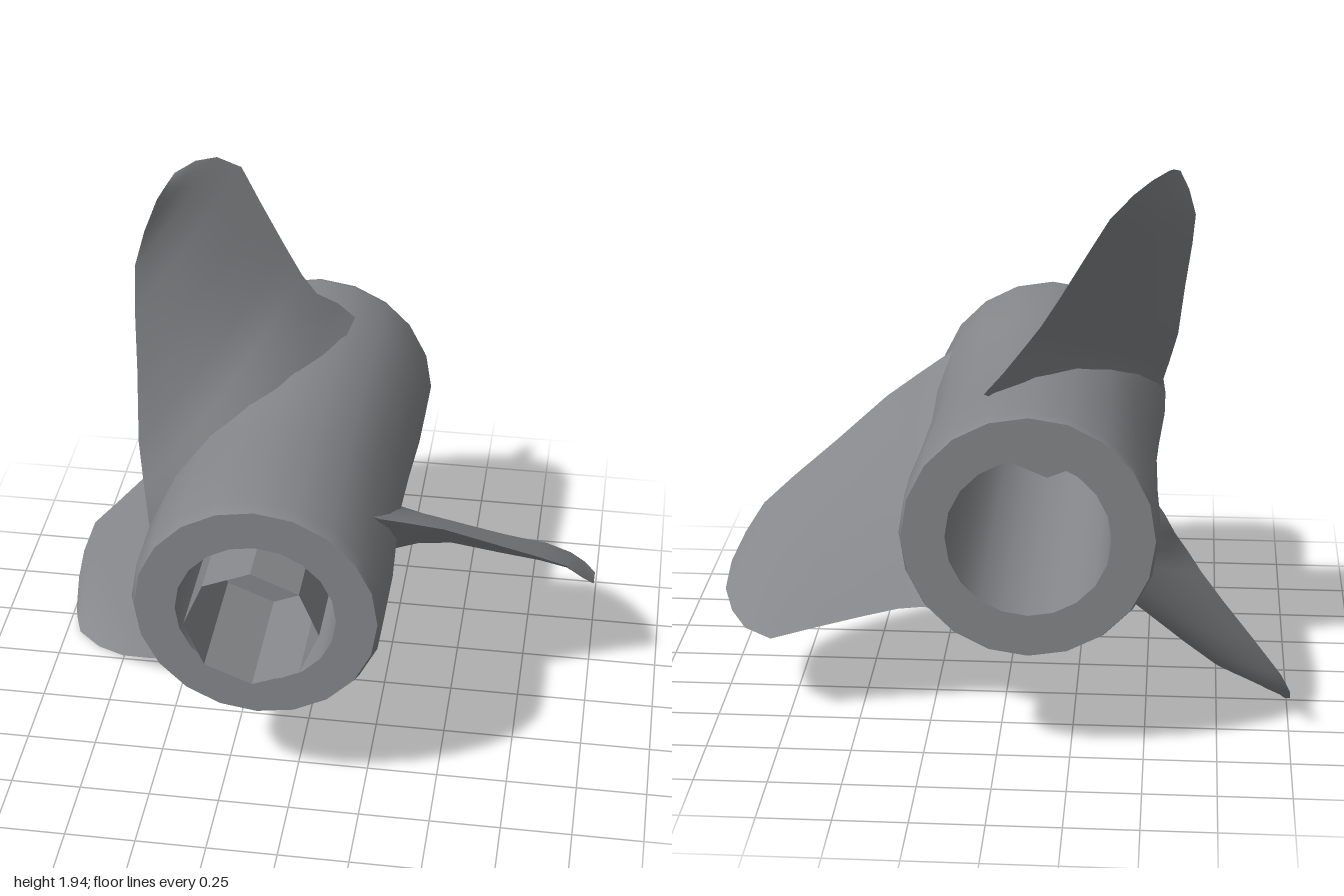
import * as THREE from 'three';

const CX = -0.11, CY = 0.85; // hub axis, parallel to z

// Surface of revolution around z from [radius, z] points
function turned(points, sides) {
  const g = new THREE.LatheGeometry(points.map(([r, z]) => new THREE.Vector2(r, z)), sides);
  return g.rotateX(Math.PI / 2);
}

// Blade sections: x, front edge (y, z), back edge (y, z), thickness
const SECTIONS = [
  [0.08, 1.19, 0.50, 0.45, -0.57, 0.28],
  [0.17, 1.13, 0.47, 0.45, -0.55, 0.24],
  [0.27, 1.07, 0.43, 0.45, -0.485, 0.19],
  [0.36, 1.02, 0.37, 0.44, -0.485, 0.13],
  [0.48, 0.95, 0.29, 0.415, -0.50, 0.09],
  [0.65, 0.82, 0.17, 0.375, -0.52, 0.075],
  [0.80, 0.71, 0.07, 0.34, -0.545, 0.06],
  [0.90, 0.63, 0.00, 0.35, -0.48, 0.045],
  [0.96, 0.54, -0.06, 0.375, -0.39, 0.03],
  [1.00, 0.46, -0.14, 0.41, -0.28, 0.008],
];
const ROOT = 0.35; // blades end inside the hub wall, clear of the bore

// One curved side of the blade; the upper one is flatter than the lower one
function bladeSide(upper) {
  const N = 10, pos = [], idx = [];
  for (const [x, fy, fz, by, bz, t] of SECTIONS) {
    const dy = by - fy, dz = bz - fz, len = Math.hypot(dy, dz);
    const ny = -dz / len, nz = dy / len;
    for (let j = 0; j <= N; j++) {
      const u = j / N;
      const h = (upper ? 0.25 : -0.6) * t * Math.sin(Math.PI * u);
      const y = fy + dy * u + ny * h - CY;
      const wall = Math.sqrt(Math.max(0, ROOT * ROOT - y * y));
      pos.push(Math.max(x - CX, wall), y, fz + dz * u + nz * h);
    }
  }
  for (let i = 0; i < SECTIONS.length - 1; i++) {
    for (let j = 0; j < N; j++) {
      const a = i * (N + 1) + j, b = a + 1, c = a + N + 1, d = c + 1;
      if (upper) idx.push(a, c, b, b, c, d);
      else idx.push(a, b, c, b, d, c);
    }
  }
  const g = new THREE.BufferGeometry();
  g.setAttribute('position', new THREE.Float32BufferAttribute(pos, 3));
  g.setIndex(idx);
  g.computeVertexNormals();
  return g;
}

export function createModel() {
  const metal = new THREE.MeshStandardMaterial({ color: 0x85878a, side: THREE.DoubleSide });
  metal.name = 'grey metal';

  const model = new THREE.Group();
  const propeller = new THREE.Group();
  propeller.name = 'propeller';
  propeller.position.set(CX, CY, 0);
  model.add(propeller);

  // Slightly waisted hub tube with softened rims and an open bore
  const hub = new THREE.Group();
  hub.name = 'hub';
  const hubParts = [
    [[0.275, -0.82], [0.42, -0.82]],
    [[0.42, -0.82], [0.43, -0.79], [0.43, -0.6], [0.418, -0.35], [0.41, -0.05],
      [0.418, 0.2], [0.432, 0.45], [0.432, 0.69], [0.415, 0.735]],
    [[0.415, 0.735], [0.275, 0.735]],
    [[0.275, 0.735], [0.275, -0.82]],
  ];
  for (const part of hubParts) hub.add(new THREE.Mesh(turned(part, 20), metal));
  propeller.add(hub);

  // Eight-sided socket, open at the front, with a recessed centre in its floor
  const socketProfile = [
    [0, 0.3], [0.105, 0.3], [0.105, 0.35], [0.23, 0.35], [0.23, 0.82],
  ];
  const socketGeometry = turned(socketProfile, 8).toNonIndexed();
  socketGeometry.computeVertexNormals();
  const socket = new THREE.Mesh(socketGeometry, metal);
  socket.name = 'shaftSocket';
  propeller.add(socket);

  // Three twisted blades, slightly unevenly spaced
  const sides = [bladeSide(true), bladeSide(false)];
  [0, 133, 244].forEach((deg, i) => {
    const blade = new THREE.Group();
    blade.name = 'blade' + (i + 1);
    for (const g of sides) blade.add(new THREE.Mesh(g, metal));
    blade.rotation.z = THREE.MathUtils.degToRad(deg);
    propeller.add(blade);
  });

  return model;
}
